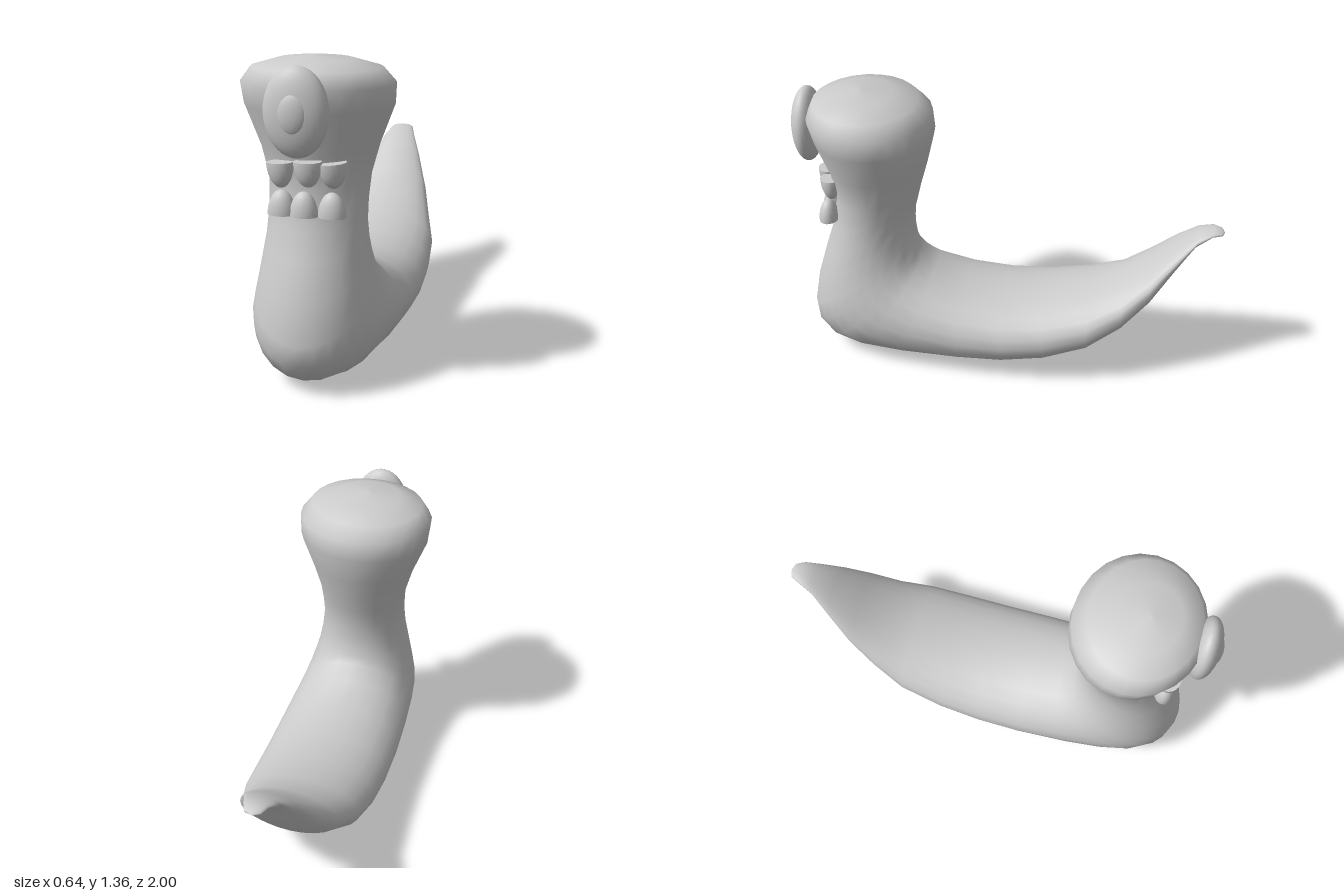
import * as THREE from 'three';

const material = new THREE.MeshStandardMaterial({ color: 0xcccccc });

// Body sections from tail tip to crown: [inner z, inner y, outer z, outer y, half width]
const sections = [
  [-1, 0.755, -1, 0.755, 0], [-0.985, 0.768, -0.99, 0.748, 0.035],
  [-0.95, 0.775, -0.94, 0.745, 0.055], [-0.89, 0.76, -0.86, 0.685, 0.08],
  [-0.8, 0.7, -0.77, 0.54, 0.13], [-0.68, 0.595, -0.68, 0.39, 0.185],
  [-0.55, 0.495, -0.56, 0.25, 0.23], [-0.4, 0.435, -0.4, 0.135, 0.28],
  [-0.2, 0.395, -0.2, 0.06, 0.303], [0, 0.382, 0, 0.025, 0.312],
  [0.2, 0.405, 0.22, 0.01, 0.312], [0.35, 0.46, 0.52, 0.005, 0.302],
  [0.41, 0.515, 0.75, 0.015, 0.29], [0.43, 0.55, 0.88, 0.055, 0.28],
  [0.445, 0.6, 0.955, 0.14, 0.263], [0.45, 0.65, 0.965, 0.23, 0.245],
  [0.45, 0.7, 0.935, 0.39, 0.225], [0.445, 0.76, 0.885, 0.55, 0.209],
  [0.43, 0.82, 0.84, 0.68, 0.206], [0.41, 0.9, 0.81, 0.83, 0.214],
  [0.375, 1.02, 0.83, 0.98, 0.25], [0.34, 1.16, 0.89, 1.16, 0.312],
  [0.348, 1.25, 0.915, 1.255, 0.32], [0.41, 1.312, 0.885, 1.32, 0.27],
  [0.52, 1.348, 0.8, 1.352, 0.155], [0.67, 1.365, 0.67, 1.365, 0],
];

// Skin elliptical rings into one smooth surface
function loft(rows, sides) {
  const positions = [], index = [];
  rows.forEach(([zi, yi, zo, yo, w], i) => {
    for (let j = 0; j < sides; j++) {
      const a = (j / sides) * Math.PI * 2, c = Math.cos(a) / 2;
      positions.push(w * Math.sin(a), (yi + yo) / 2 + c * (yi - yo), (zi + zo) / 2 + c * (zi - zo));
      if (i < rows.length - 1) {
        const p = i * sides + j, q = i * sides + ((j + 1) % sides);
        index.push(p, p + sides, q, q, p + sides, q + sides);
      }
    }
  });
  const geometry = new THREE.BufferGeometry();
  geometry.setAttribute('position', new THREE.Float32BufferAttribute(positions, 3));
  geometry.setIndex(index);
  geometry.computeVertexNormals();
  return geometry;
}

function addMesh(parent, name, geometry) {
  const mesh = new THREE.Mesh(geometry, material);
  mesh.name = name;
  parent.add(mesh);
  return mesh;
}

function addEllipsoid(parent, name, center, radii) {
  const mesh = addMesh(parent, name, new THREE.SphereGeometry(1, 32, 20));
  mesh.position.set(...center);
  mesh.scale.set(...radii);
}

// Half-dome tooth with a flat base at its origin
function addTooth(parent, name, [x, y, z], height, turn, tilt, flip) {
  const tooth = new THREE.Group();
  tooth.name = name;
  const dome = new THREE.SphereGeometry(1, 20, 10, 0, Math.PI * 2, 0, Math.PI / 2);
  addMesh(tooth, 'toothDome', dome);
  addMesh(tooth, 'toothBase', new THREE.CircleGeometry(1, 20).rotateX(Math.PI / 2));
  tooth.scale.set(0.058, height, 0.045);
  tooth.position.set(x, y, z);
  tooth.rotation.set(flip ? Math.PI : 0, turn, tilt);
  parent.add(tooth);
}

export function createModel() {
  const model = new THREE.Group();
  model.name = 'creature';

  addMesh(model, 'body', loft(sections, 24));

  // Single eye with a slightly raised pupil
  addEllipsoid(model, 'eye', [0, 1.177, 0.925], [0.132, 0.18, 0.066]);
  addEllipsoid(model, 'pupil', [0, 1.177, 0.965], [0.065, 0.09, 0.035]);

  // Upper teeth point down, lower teeth point up
  const upper = [[-0.1, 0.958, 0.835], [0.017, 0.967, 0.842], [0.11, 0.96, 0.81]];
  const lower = [[-0.095, 0.745, 0.835], [0, 0.745, 0.842], [0.113, 0.745, 0.83]];
  upper.forEach((p, i) => addTooth(model, 'upperTooth', p, 0.105, [0.2, 0, -0.4][i], [-0.06, -0.03, -0.07][i], true));
  lower.forEach((p) => addTooth(model, 'lowerTooth', p, 0.1, 0, 0, false));

  return model;
}
